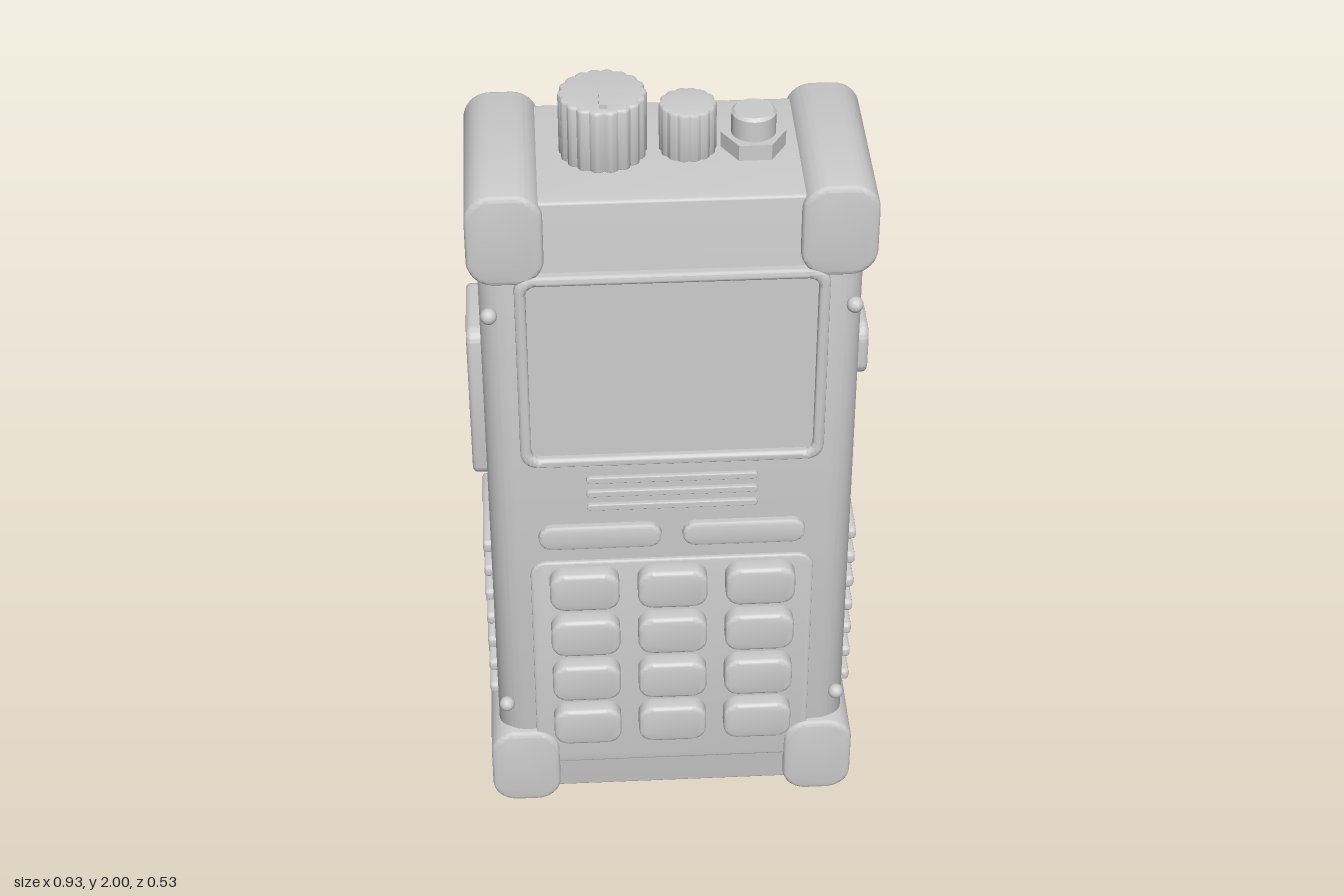
import * as THREE from 'three';
import { toCreasedNormals } from 'three/addons/utils/BufferGeometryUtils.js';

const material = new THREE.MeshStandardMaterial({ color: 0xcccccc });

// Rounded rectangle centred on the origin
function roundedRect(w, h, r, target = new THREE.Shape()) {
  const x = w / 2, y = h / 2;
  target.moveTo(-x + r, -y);
  target.lineTo(x - r, -y).absarc(x - r, -y + r, r, -Math.PI / 2, 0);
  target.lineTo(x, y - r).absarc(x - r, y - r, r, 0, Math.PI / 2);
  target.lineTo(-x + r, y).absarc(-x + r, y - r, r, Math.PI / 2, Math.PI);
  target.lineTo(-x, -y + r).absarc(-x + r, -y + r, r, Math.PI, Math.PI * 1.5);
  return target;
}

// Extrusion along z, centred in depth, with softened edges
function extrude(shape, depth, bevel) {
  const geo = new THREE.ExtrudeGeometry(shape, {
    depth: depth - 2 * bevel, curveSegments: 8, bevelEnabled: bevel > 0,
    bevelSize: bevel, bevelOffset: -bevel, bevelThickness: bevel, bevelSegments: 3,
  });
  geo.translate(0, 0, -depth / 2 + bevel);
  return toCreasedNormals(geo, 0.6);
}

const slab = (w, h, d, r, bevel) => extrude(roundedRect(w, h, r), d, bevel);

// Fluted knob standing on y = 0
function knobGeometry(radius, height, flutes) {
  const shape = new THREE.Shape();
  const n = flutes * 8;
  for (let i = 0; i < n; i++) {
    const a = (i / n) * Math.PI * 2;
    const r = radius * (0.93 + 0.07 * Math.abs(Math.cos(a * flutes / 2)));
    if (i) shape.lineTo(r * Math.cos(a), r * Math.sin(a));
    else shape.moveTo(r, 0);
  }
  return extrude(shape, height, 0.006).rotateX(-Math.PI / 2).translate(0, height / 2, 0);
}

export function createModel() {
  const model = new THREE.Group();
  model.name = 'handheldRadio';
  function add(name, geo, x = 0, y = 0, z = 0, ry = 0) {
    const mesh = new THREE.Mesh(geo, material);
    mesh.name = name;
    mesh.position.set(x, y, z);
    mesh.rotation.y = ry;
    model.add(mesh);
    return mesh;
  }

  // Case with rounded vertical edges
  const caseGeo = slab(0.86, 0.415, 1.75, 0.07, 0.006).rotateX(-Math.PI / 2);
  add('body', caseGeo, 0, 0.965, 0.006);

  // Corner bumpers running front to back
  const bumperGeo = slab(0.17, 0.23, 0.455, 0.062, 0.012);
  for (const x of [-0.367, 0.367])
    for (const y of [0.175, 1.755]) add('cornerBumper', bumperGeo, x, y, 0.006);

  // Screen frame with a sloped opening, and the screen inside
  const frame = roundedRect(0.7, 0.53, 0.04);
  frame.holes.push(roundedRect(0.65, 0.48, 0.025, new THREE.Path()));
  add('screenFrame', extrude(frame, 0.04, 0.01), 0, 1.395, 0.216);
  add('screen', new THREE.PlaneGeometry(0.67, 0.5), 0, 1.395, 0.217);

  // Speaker bars
  const barGeo = slab(0.4, 0.018, 0.02, 0.008, 0.004);
  for (const y of [1.0, 1.04, 1.08]) add('speakerBar', barGeo, 0, y, 0.214);

  // Function keys, keypad panel and keys
  const pillGeo = slab(0.29, 0.067, 0.035, 0.032, 0.008);
  for (const x of [-0.17, 0.17]) add('functionKey', pillGeo, x, 0.913, 0.214);
  add('keypadPanel', slab(0.675, 0.655, 0.03, 0.04, 0.005), 0, 0.508, 0.208);
  const keyGeo = slab(0.166, 0.11, 0.055, 0.036, 0.01);
  for (let row = 0; row < 4; row++)
    for (let col = -1; col <= 1; col++)
      add('key', keyGeo, col * 0.21, 0.33 + row * 0.146, 0.2345);

  // Screws near the front edges
  const screwGeo = new THREE.SphereGeometry(0.019, 16, 12);
  for (const x of [-0.408, 0.408])
    for (const y of [0.38, 1.55]) add('screw', screwGeo, x, y, 0.214);

  // Grip ribs on both sides
  const ribGeo = slab(0.28, 0.034, 0.04, 0.015, 0.008);
  for (const side of [-1, 1])
    for (let i = 0; i < 7; i++)
      add('gripRib', ribGeo, side * 0.429, 0.366 + i * 0.0765, 0.007, side * Math.PI / 2);

  // Side controls
  add('sideButton', slab(0.14, 0.14, 0.06, 0.04, 0.012), 0.434, 1.315, 0.01, Math.PI / 2);
  add('talkBar', slab(0.23, 0.415, 0.06, 0.035, 0.012), -0.434, 1.228, 0.004, -Math.PI / 2);

  // Rear clip plate
  add('backPlate', slab(0.395, 0.3, 0.065, 0.035, 0.015), 0, 1.51, -0.232);

  // Top knobs and pointer
  add('largeKnob', knobGeometry(0.098, 0.155, 18), -0.142, 1.835, 0);
  add('knobPointer', new THREE.BoxGeometry(0.018, 0.02, 0.07), -0.142, 1.99, 0.042);
  add('smallKnob', knobGeometry(0.064, 0.122, 14), 0.046, 1.835, 0);

  // Antenna connector on a hexagonal nut
  const nut = new THREE.CylinderGeometry(0.073, 0.073, 0.042, 6).rotateY(Math.PI / 6);
  add('connectorNut', toCreasedNormals(nut, 0.5), 0.192, 1.857, 0);
  const post = [[0, 0], [0.05, 0], [0.05, 0.09], [0.043, 0.097], [0, 0.097]]
    .map(([r, y]) => new THREE.Vector2(r, y));
  add('antennaConnector', toCreasedNormals(new THREE.LatheGeometry(post, 32), 0.6), 0.192, 1.838, 0);

  // Lanyard ring under the base
  add('lanyardRing', new THREE.TorusGeometry(0.075, 0.014, 12, 40), 0, 0.089, -0.13);

  return model;
}
